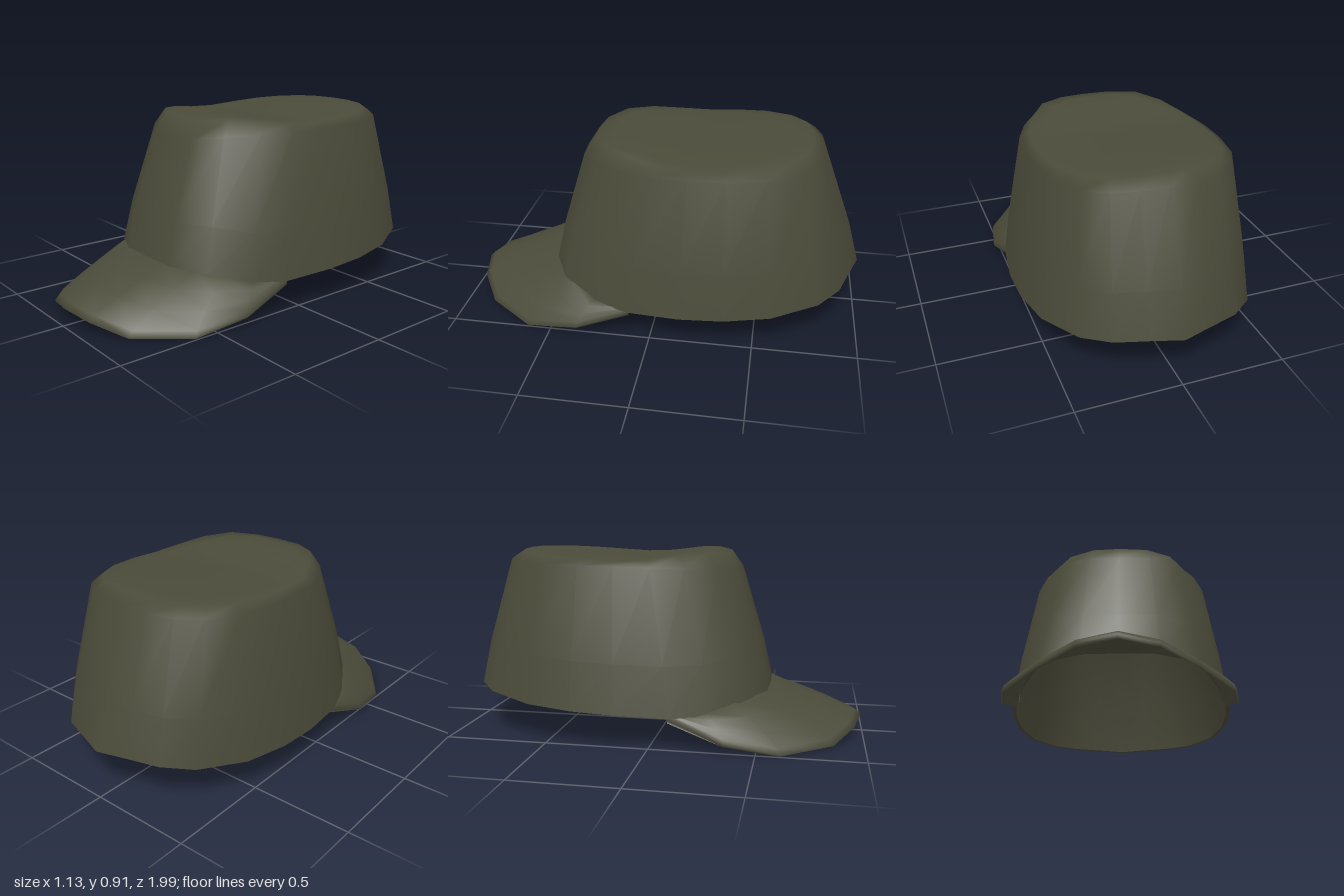
import * as THREE from 'three';
import { mergeVertices } from 'three/addons/utils/BufferGeometryUtils.js';

const { lerp } = THREE.MathUtils;

// Skins a stack of closed rings of [x, y, z] points; flip turns the faces inward
function loft(rings, flip = false) {
  const n = rings[0].length, index = [];
  for (let j = 0; j < rings.length - 1; j++) {
    for (let i = 0; i < n; i++) {
      const a = j * n + i, b = j * n + (i + 1) % n, c = a + n, d = b + n;
      if (flip) index.push(a, b, c, b, d, c);
      else index.push(a, c, b, b, c, d);
    }
  }
  const geo = new THREE.BufferGeometry();
  geo.setAttribute('position', new THREE.Float32BufferAttribute(rings.flat(2), 3));
  geo.setIndex(index);
  const merged = mergeVertices(geo, 1e-5);
  merged.computeVertexNormals();
  return merged;
}

// Left half outlines of the crown, back centre to front centre
const HEM = [ // x, y, z
  [0, 0.26, -1], [0.14, 0.255, -0.95], [0.29, 0.25, -0.9], [0.41, 0.235, -0.8],
  [0.52, 0.21, -0.58], [0.56, 0.197, -0.36], [0.563, 0.187, -0.15], [0.53, 0.175, 0.1],
  [0.47, 0.18, 0.28], [0.36, 0.24, 0.45], [0.18, 0.246, 0.535], [0, 0.246, 0.54],
];
const SHOULDER = [
  [0, 0.88, -0.78], [0.13, 0.88, -0.772], [0.25, 0.875, -0.74], [0.35, 0.87, -0.66],
  [0.425, 0.865, -0.52], [0.458, 0.86, -0.34], [0.46, 0.86, -0.17], [0.44, 0.855, 0],
  [0.38, 0.85, 0.15], [0.285, 0.84, 0.29], [0.15, 0.825, 0.375], [0, 0.82, 0.388],
];

// Height of the dished crown top along its length
const TOP = [[-0.8, 0.915], [-0.73, 0.92], [-0.55, 0.918], [-0.12, 0.893], [0.04, 0.908], [0.2, 0.931], [0.34, 0.908]];
function topHeight(x, z) {
  let k = 0;
  while (k < TOP.length - 2 && z > TOP[k + 1][0]) k++;
  const t = THREE.MathUtils.clamp((z - TOP[k][0]) / (TOP[k + 1][0] - TOP[k][0]), 0, 1);
  return lerp(TOP[k][1], TOP[k + 1][1], t) - 0.09 * x * x;
}

const mirrorRing = half => [...half, ...half.slice(1, -1).reverse().map(([x, y, z]) => [-x, y, z])];
const wall = (t, ty) => mirrorRing(HEM.map((p, i) => [
  lerp(p[0], SHOULDER[i][0], t), lerp(p[1], SHOULDER[i][1], ty), lerp(p[2], SHOULDER[i][2], t),
]));
const CZ = -0.2;
const topRing = s => mirrorRing(SHOULDER.map(([x, , z]) => {
  const px = x * s, pz = CZ + (z - CZ) * s;
  return [px, topHeight(px, pz), pz];
}));
const inset = (ring, d, drop = 0) => ring.map(([x, y, z]) => {
  const r = Math.hypot(x, z - CZ) || 1, k = Math.max(0, 1 - d / r);
  return [x * k, y - drop, CZ + (z - CZ) * k];
});

// Brim stations from the centre to the left end: inner edge and outer edge
const BRIM = [
  [[0, 0.246, 0.53], [0, 0.1, 0.985]],
  [[0.15, 0.246, 0.53], [0.165, 0.078, 0.95]],
  [[0.3, 0.242, 0.475], [0.325, 0.03, 0.85]],
  [[0.4, 0.225, 0.39], [0.495, 0.022, 0.615]],
  [[0.47, 0.19, 0.27], [0.54, 0.07, 0.36]],
  [[0.495, 0.178, 0.11], [0.515, 0.166, 0.095]],
];
function brimProfile([inner, outer]) {
  const at = (t, dy) => inner.map((v, k) => lerp(v, outer[k], t) + (k === 1 ? dy : 0));
  return [
    at(0, 0.005), at(0.33, 0.018), at(0.66, 0.022), at(0.95, 0.018), at(1.01, 0),
    at(0.95, -0.016), at(0.66, -0.008), at(0.33, -0.008), at(0, -0.015),
  ];
}
function capRing(ring) {
  const c = [0, 1, 2].map(k => ring.reduce((s, p) => s + p[k], 0) / ring.length);
  return ring.map(() => c);
}

export function createModel() {
  const group = new THREE.Group();
  group.name = 'cap';
  const cloth = new THREE.MeshStandardMaterial({ color: 0x4b4b3a });
  cloth.name = 'olive cloth';
  const add = (name, geo) => {
    const mesh = new THREE.Mesh(geo, cloth);
    mesh.name = name;
    group.add(mesh);
  };

  // Tapered crown with a rounded shoulder and a dished top
  const hem = wall(0, 0), mid = wall(0.29, 0.35), shoulder = wall(1, 1);
  add('crown', loft([hem, mid, shoulder, ...[0.9, 0.75, 0.55, 0.35, 0.17, 0].map(topRing)]));

  // Hollow inside and the thin hem edge
  const t = 0.018;
  const hemInside = inset(hem, t);
  add('crownLining', loft([
    hemInside, inset(mid, t), inset(shoulder, t, t),
    ...[0.87, 0.6, 0.3, 0].map(s => topRing(s).map(([x, y, z]) => [x, y - t, z])),
  ], true));
  add('crownHem', loft([hemInside, hem]));

  // Curved brim, lofted from the left end to the right end
  const left = BRIM.map(brimProfile).reverse();
  const right = left.slice(0, -1).reverse().map(r => r.map(([x, y, z]) => [-x, y, z]));
  const stations = [...left, ...right];
  add('brim', loft([capRing(stations[0]), ...stations, capRing(stations[stations.length - 1])]));

  return group;
}
